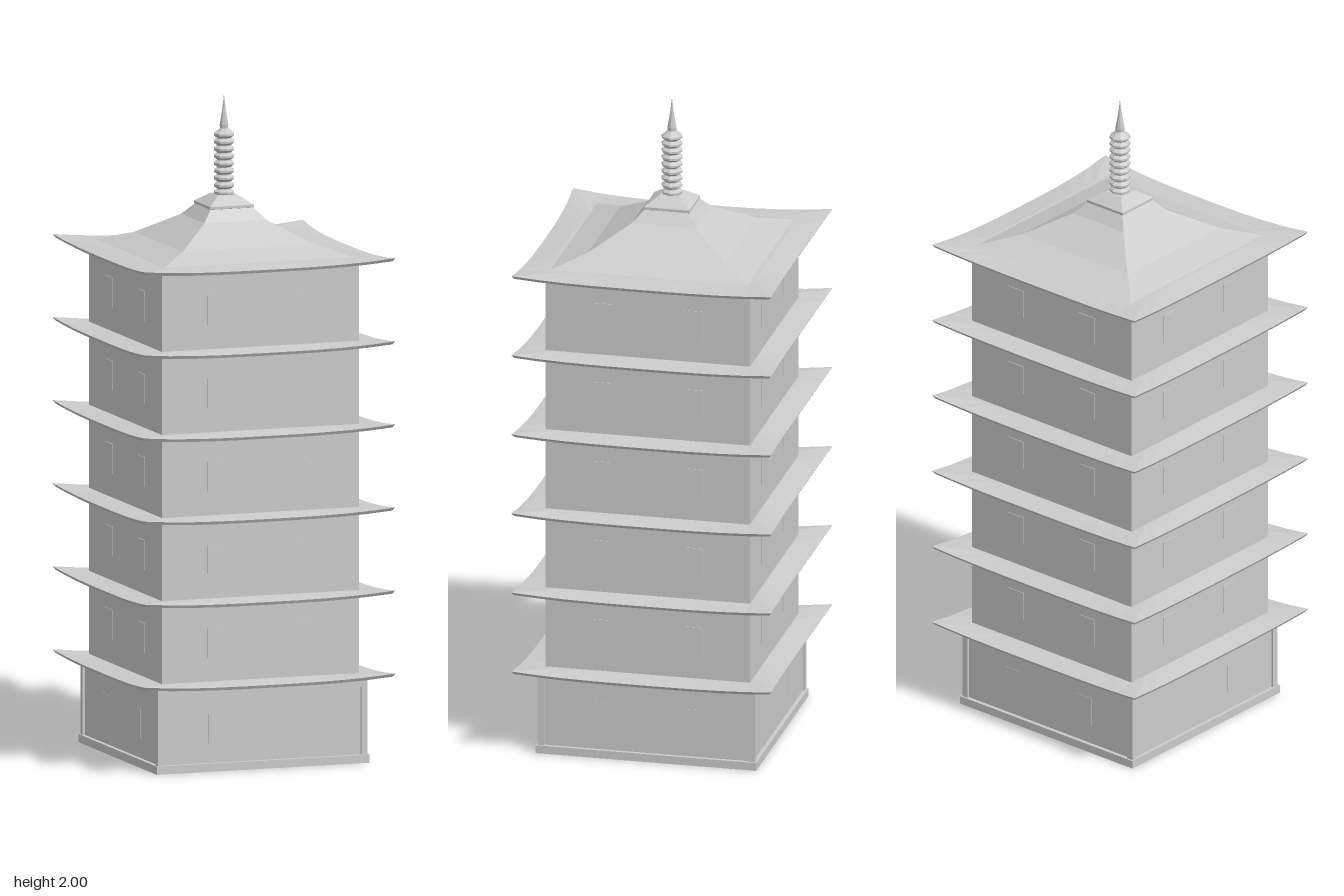
import * as THREE from 'three';

const grey = new THREE.MeshStandardMaterial({ color: 0xcccccc, flatShading: true });

function add(parent, geometry, name, x = 0, y = 0, z = 0) {
  const mesh = new THREE.Mesh(geometry, grey);
  mesh.name = name;
  mesh.position.set(x, y, z);
  parent.add(mesh);
  return mesh;
}

// Square loft: each ring is [halfWidth, y, bow, lift]; the bow draws the middle
// of a side inwards, the lift raises its corners.
function squareLoft(rings, n = 1) {
  const pos = [];
  const point = ([h, y, bow = 0, lift = 0], j, side) => {
    const t = (2 * j) / n - 1, k = Math.abs(t) ** 3;
    const p = new THREE.Vector3(t * h, y + lift * k, h - bow * (1 - k));
    return p.applyAxisAngle(new THREE.Vector3(0, 1, 0), side * Math.PI / 2);
  };
  for (let side = 0; side < 4; side++)
    for (let i = 0; i < rings.length - 1; i++)
      for (let j = 0; j < n; j++) {
        const a = point(rings[i], j, side), b = point(rings[i], j + 1, side);
        const c = point(rings[i + 1], j + 1, side), d = point(rings[i + 1], j, side);
        for (const v of [a, b, c, a, c, d]) pos.push(v.x, v.y, v.z);
      }
  const g = new THREE.BufferGeometry();
  g.setAttribute('position', new THREE.Float32BufferAttribute(pos, 3));
  g.computeVertexNormals();
  return g;
}

// Two nearly flush windows on each of the four walls
function addWindows(parent, half, y, height) {
  for (let side = 0; side < 4; side++) {
    const wall = new THREE.Group();
    wall.name = 'windows';
    wall.rotation.y = side * Math.PI / 2;
    for (const x of [-0.14, 0.14])
      add(wall, new THREE.BoxGeometry(0.06, height, 0.004), 'window', x, y, half);
    parent.add(wall);
  }
}

export function createModel() {
  const model = new THREE.Group();
  model.name = 'pagoda';
  const pitch = 0.252, firstEave = 0.252, storeys = 6;

  // Hollow ground floor, open underneath
  const ground = new THREE.Group();
  ground.name = 'groundFloor';
  model.add(ground);
  for (let side = 0; side < 4; side++) {
    const wall = new THREE.Group();
    wall.name = 'groundWall';
    wall.rotation.y = side * Math.PI / 2;
    add(wall, new THREE.BoxGeometry(0.65, 0.25, 0.006), 'wallPanel', 0, 0.127, 0.325);
    add(wall, new THREE.BoxGeometry(0.68, 0.025, 0.025), 'sill', 0, 0.0125, 0.3275);
    add(wall, new THREE.BoxGeometry(0.67, 0.022, 0.02), 'topBeam', 0, 0.243, 0.325);
    add(wall, new THREE.BoxGeometry(0.02, 0.22, 0.02), 'cornerPost', 0.325, 0.13, 0.325);
    ground.add(wall);
  }
  addWindows(ground, 0.327, 0.13, 0.09);

  // Thin eaves with upturned corners, and the storeys between them
  for (let i = 0; i < storeys; i++) {
    const y = firstEave + i * pitch;
    add(model, squareLoft([
      [0, y + 0.004], [0.315, y + 0.004], [0.393, y, 0.01, 0.014],
      [0.4, y + 0.009, 0.012, 0.015], [0.315, y + 0.018], [0, y + 0.018],
    ], 10), 'eave');
    if (i < storeys - 1) {
      add(model, new THREE.BoxGeometry(0.63, pitch - 0.012, 0.63), 'storey', 0, y + 0.01 + pitch / 2, 0);
      addWindows(model, 0.315, y + 0.01 + pitch / 2, 0.09);
    }
  }

  // Concave hipped roof
  add(model, squareLoft([
    [0.315, 1.526], [0.21, 1.56], [0.1, 1.625], [0.068, 1.66],
  ]), 'topRoof');

  // Stepped finial base
  add(model, squareLoft([
    [0.06, 1.655], [0.07, 1.66], [0.07, 1.668], [0.053, 1.68], [0.032, 1.695], [0, 1.695],
  ]), 'finialBase');

  // Octagonal ringed spire with a needle tip
  const profile = [[0.018, 1.68]];
  const rings = 9, step = 0.022;
  for (let i = 0; i < rings; i++) {
    const y = 1.69 + i * step;
    profile.push([0.022, y], [0.032, y + 0.007], [0.032, y + 0.013], [0.022, y + 0.02]);
  }
  profile.push([0.013, 1.895], [0.014, 1.905], [0.006, 1.95], [0, 2]);
  add(model, new THREE.LatheGeometry(profile.map(p => new THREE.Vector2(...p)), 8), 'spire');

  return model;
}
